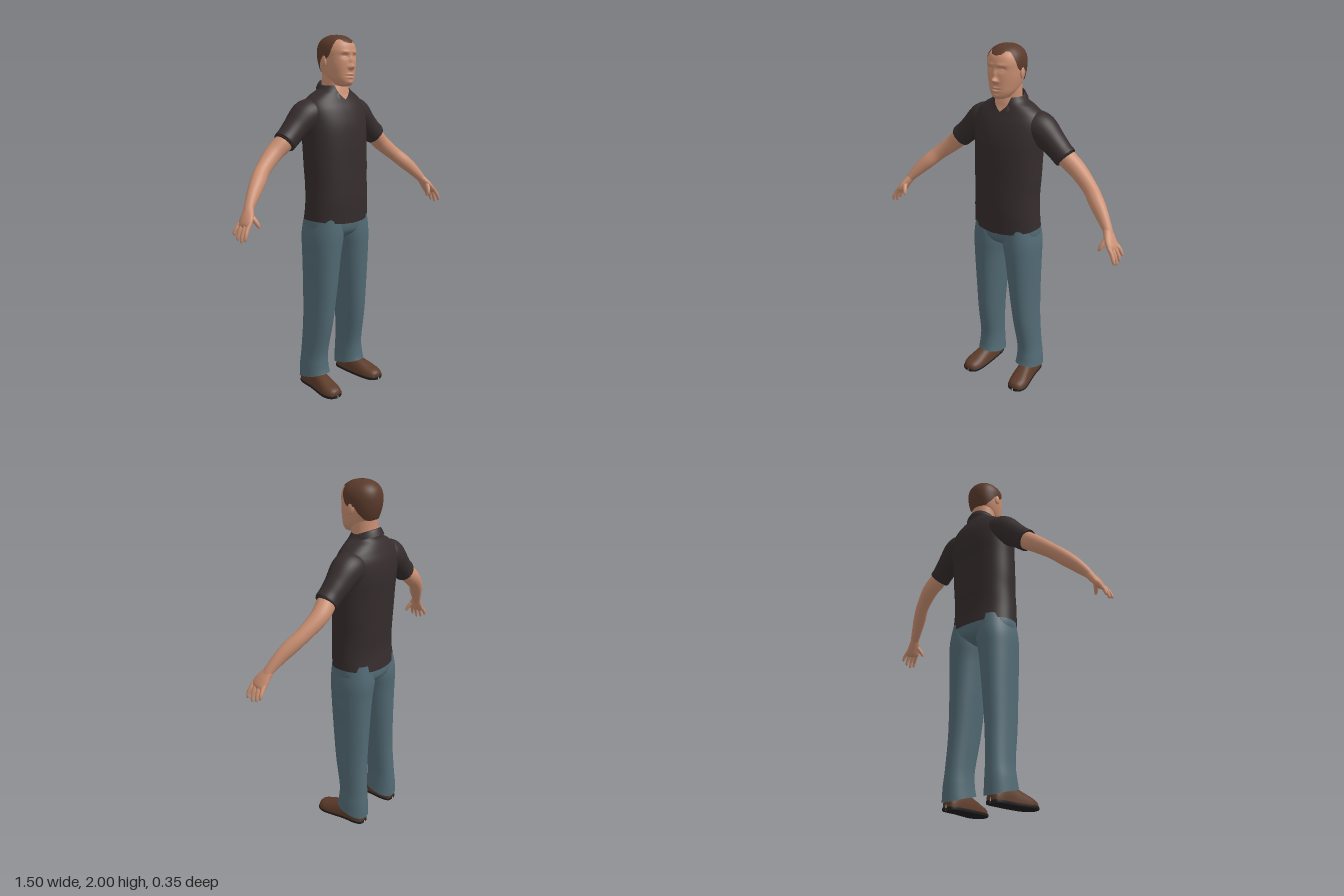
import * as THREE from 'three';

const TAU = Math.PI * 2;
const paint = (name, color, side = THREE.FrontSide) => {
  const m = new THREE.MeshStandardMaterial({ color, side });
  m.name = name;
  return m;
};

// Smooth interpolation between rows of numbers; u counts rows
function sample(rows, u) {
  const last = rows.length - 1;
  const i = Math.min(Math.floor(u), last - 1), t = u - i;
  const a = rows[Math.max(i - 1, 0)], b = rows[i], c = rows[i + 1], d = rows[Math.min(i + 2, last)];
  return b.map((p, k) => {
    const m0 = (c[k] - a[k]) / 2, m1 = (d[k] - p) / 2, e = c[k] - p;
    return p + m0 * t + (3 * e - 2 * m0 - m1) * t * t + (m0 + m1 - 2 * e) * t * t * t;
  });
}

// Surface grid: fn(u, angle) gives [x, y, z]; a full turn is welded
function surface(name, mat, fn, u0, u1, nu, nv, a0 = 0, a1 = TAU) {
  const closed = a1 - a0 > TAU - 1e-6, cols = closed ? nv : nv + 1;
  const pos = [], idx = [];
  for (let i = 0; i <= nu; i++)
    for (let j = 0; j < cols; j++) pos.push(...fn(u0 + (u1 - u0) * i / nu, a0 + (a1 - a0) * j / nv));
  for (let i = 0; i < nu; i++)
    for (let j = 0; j < nv; j++) {
      const k = (j + 1) % cols, p = i * cols, q = p + cols;
      idx.push(p + j, p + k, q + j, p + k, q + k, q + j);
    }
  const g = new THREE.BufferGeometry();
  g.setAttribute('position', new THREE.Float32BufferAttribute(pos, 3));
  g.setIndex(idx);
  g.computeVertexNormals();
  const mesh = new THREE.Mesh(g, mat);
  mesh.name = name;
  return mesh;
}

const soft = (v, n) => Math.sign(v) * Math.abs(v) ** (2 / n);

// Horizontal ring from a row [y, frontZ, backZ, halfWidth, centreX]
const ring = (rows, n = 2, grow = 0) => (u, a) => {
  const [y, f, b, w, cx = 0] = sample(rows, u);
  return [cx + (w + grow) * soft(Math.sin(a), n), y,
    (f + b) / 2 + ((f - b) / 2 + grow) * soft(Math.cos(a), n)];
};

// Limb along rows [x, y, z, thickness, depth]
function limb(name, mat, rows, nu = 24, nv = 24) {
  const last = rows.length - 1;
  const at = u => new THREE.Vector3(...sample(rows, u).slice(0, 3));
  return surface(name, mat, (u, a) => {
    const [x, y, z, r1, r2] = sample(rows, u);
    const t = at(Math.min(u + 0.05, last)).sub(at(Math.max(u - 0.05, 0))).normalize();
    const n1 = new THREE.Vector3(0, 0, 1).cross(t).normalize();
    const n2 = t.clone().cross(n1);
    const p = new THREE.Vector3(x, y, z)
      .addScaledVector(n1, Math.max(r1, 0) * Math.cos(a)).addScaledVector(n2, Math.max(r2, 0) * Math.sin(a));
    return p.toArray();
  }, 0, last, nu, nv);
}

// Reflected copy of a mesh, with corner order corrected
function mirror(mesh) {
  const g = mesh.geometry.clone().scale(-1, 1, 1);
  const ix = g.index.array;
  for (let i = 0; i < ix.length; i += 3) [ix[i], ix[i + 1]] = [ix[i + 1], ix[i]];
  g.computeVertexNormals();
  const m = new THREE.Mesh(g, mesh.material);
  m.name = mesh.name.replace('left', 'right');
  return m;
}

export function createModel() {
  const skin = paint('skin', 0xcb9073), hair = paint('hair brown', 0x5a3a2b, THREE.DoubleSide);
  const cloth = paint('shirt charcoal', 0x352c2d, THREE.DoubleSide);
  const denim = paint('trouser blue', 0x526a74, THREE.DoubleSide);
  const leather = paint('shoe brown', 0x5c3b29), rubber = paint('sole black', 0x211e1e);
  const model = new THREE.Group();
  model.name = 'standingMan';
  const pair = mesh => model.add(mesh, mirror(mesh));

  // Head, with features raised and sunk into the front
  const skull = [
    [1.728, 0.06, 0.03, 0.002], [1.734, 0.083, 0, 0.034], [1.748, 0.094, -0.03, 0.05], [1.77, 0.098, -0.06, 0.066],
    [1.80, 0.099, -0.093, 0.078], [1.84, 0.1, -0.11, 0.088], [1.88, 0.099, -0.119, 0.093],
    [1.92, 0.098, -0.119, 0.094], [1.955, 0.086, -0.108, 0.083], [1.98, 0.058, -0.083, 0.06],
    [1.993, 0.024, -0.05, 0.032], [1.996, -0.012, -0.016, 0.002]];
  const bumps = [ // x, y, spreadX, spreadY, height
    [0, 1.862, 0.01, 0.024, 0.011], [0, 1.832, 0.013, 0.012, 0.023], [0.014, 1.828, 0.007, 0.007, 0.008],
    [0.036, 1.887, 0.018, 0.012, -0.011], [0.036, 1.883, 0.011, 0.006, 0.005], [0.03, 1.908, 0.024, 0.008, 0.005],
    [0, 1.793, 0.021, 0.005, 0.006], [0, 1.776, 0.018, 0.005, 0.006], [0, 1.785, 0.024, 0.003, -0.005],
    [0, 1.75, 0.018, 0.012, 0.005]];
  const headRing = ring(skull, 2.15);
  model.add(surface('head', skin, (u, a) => {
    const [x, y, z] = headRing(u, a);
    let dz = 0;
    if (z > 0) for (const [bx, by, sx, sy, h] of bumps)
      dz += h * Math.exp(-(((Math.abs(x) - bx) / sx) ** 2) - ((y - by) / sy) ** 2);
    return [x, y, z + dz];
  }, 0, 11, 100, 120));
  const neck = [[1.62, 0.03, -0.11, 0.075], [1.70, 0.035, -0.108, 0.069], [1.76, 0.045, -0.101, 0.069], [1.82, 0.05, -0.1, 0.07]];
  model.add(surface('neck', skin, ring(neck), 0, 3, 12, 32));

  // Short hair with a receding hairline; rows are [angle, skull row]
  const hairline = [[0, 7.95], [0.3, 8.1], [0.6, 8.7], [0.85, 8.6], [1.05, 7.6], [1.25, 6.2], [1.5, 5.7],
    [1.75, 5.9], [2.0, 5.0], [2.4, 4.2], [Math.PI, 3.9]];
  const hairRing = ring(skull, 2.15, 0.004);
  model.add(surface('hair', hair, (v, a) => {
    const b = Math.min(a, TAU - a);
    let i = 0;
    while (i < hairline.length - 2 && hairline[i + 1][0] < b) i++;
    const [p, q] = [hairline[i], hairline[i + 1]];
    const low = p[1] + (q[1] - p[1]) * (b - p[0]) / (q[0] - p[0]);
    const [x, y, z] = hairRing(low + (11 - low) * v, a);
    return [x, y + 0.004 * v, z];
  }, 0, 1, 30, 72));

  // Ears
  const earShape = new THREE.SphereGeometry(1, 16, 12).scale(0.01, 0.032, 0.019).rotateX(-0.2).rotateY(0.3);
  const ear = new THREE.Mesh(earShape.translate(0.092, 1.865, -0.012), skin);
  ear.name = 'leftEar';
  pair(ear);

  // Shirt body with a dipping hem
  const torso = [
    [1.005, 0.123, -0.163, 0.198], [1.1, 0.127, -0.152, 0.194], [1.2, 0.125, -0.157, 0.191], [1.3, 0.12, -0.162, 0.196],
    [1.42, 0.115, -0.169, 0.199], [1.52, 0.105, -0.176, 0.204], [1.6, 0.083, -0.168, 0.204], [1.65, 0.06, -0.15, 0.185],
    [1.685, 0.046, -0.134, 0.143], [1.71, 0.04, -0.12, 0.1], [1.735, 0.033, -0.114, 0.08]];
  const shirt = grow => {
    const f = ring(torso, 2.2, grow);
    return (u, a) => {
      const [x, y, z] = f(u, a);
      return [x, y - 0.018 * Math.cos(a) ** 2 * Math.max(0, 1 - u), z];
    };
  };
  model.add(surface('shirtBody', cloth, shirt(0), 0, 10, 60, 64));
  model.add(surface('buttonPlacket', cloth, shirt(0.003), 0, 7.2, 50, 4, -0.1, 0.05));

  // Open neckline and folded collar
  const chest = shirt(0.004);
  model.add(surface('openNeckline', skin, (u, a) => chest(u, a * (u - 7.25) / 2.75), 7.25, 10, 14, 10, -0.62, 0.62));
  const fold = [[0.070, 1.69, 0], [0.074, 1.727, 0], [0.078, 1.733, 0], [0.087, 1.72, 0.3], [0.096, 1.70, 1]];
  model.add(surface('collar', cloth, (u, a) => {
    const [r, y, drop] = sample(fold, u), c = Math.cos(a);
    const tip = Math.max(0, c) ** 4 * drop;
    return [r * 1.02 * Math.sin(a), y - 0.029 * c - 0.012 * tip, -0.037 + (r + 0.012 * tip) * c];
  }, 4, 0, 14, 56, 0.42, TAU - 0.42));

  // Sleeves
  pair(limb('leftSleeve', cloth, [
    [0.09, 1.61, -0.055, 0.05, 0.06], [0.135, 1.592, -0.056, 0.078, 0.085], [0.19, 1.568, -0.057, 0.087, 0.086],
    [0.262, 1.512, -0.056, 0.07, 0.07], [0.31, 1.471, -0.052, 0.063, 0.063], [0.342, 1.445, -0.05, 0.062, 0.062],
    [0.34, 1.447, -0.05, 0.05, 0.05]], 36, 32));

  // Bare arms
  pair(limb('leftArm', skin, [
    [0.29, 1.487, -0.05, 0.045, 0.045], [0.34, 1.445, -0.054, 0.051, 0.05], [0.41, 1.388, -0.06, 0.047, 0.047],
    [0.5, 1.316, -0.034, 0.041, 0.038], [0.56, 1.262, 0.001, 0.041, 0.038], [0.61, 1.212, 0.03, 0.035, 0.032],
    [0.655, 1.16, 0.055, 0.025, 0.027], [0.675, 1.13, 0.066, 0.02, 0.027]], 44, 28));

  // Hands
  pair(limb('leftPalm', skin, [
    [0.648, 1.17, 0.05, 0.02, 0.022], [0.668, 1.14, 0.064, 0.022, 0.033], [0.69, 1.107, 0.079, 0.021, 0.045],
    [0.708, 1.078, 0.087, 0.017, 0.045], [0.715, 1.064, 0.09, 0.003, 0.03]], 20, 24));
  [[0.05, 0.044, 0.027], [0.075, 0.073, 0.008], [0.1, 0.104, 0], [0.122, 0.134, 0.012]].forEach(([z0, z1, up], i) =>
    pair(limb('leftFinger' + (i + 1), skin, [
      [0.7, 1.094, z0, 0.011, 0.012], [0.721, 1.063 + up * 0.3, z0 * 0.6 + z1 * 0.4, 0.011, 0.0115],
      [0.735, 1.032 + up * 0.7, z1, 0.0095, 0.01], [0.741, 1.007 + up, z1, 0.007, 0.007],
      [0.742, 1.001 + up, z1, 0.001, 0.001]], 14, 12)));
  pair(limb('leftThumb', skin, [
    [0.678, 1.135, 0.082, 0.014, 0.015], [0.667, 1.108, 0.106, 0.013, 0.014], [0.657, 1.085, 0.121, 0.011, 0.011],
    [0.651, 1.068, 0.126, 0.007, 0.007], [0.65, 1.063, 0.127, 0.001, 0.001]], 14, 12));

  // Trousers: seat and two legs with sloping hems
  const seat = [[0.875, -0.02, -0.03, 0.004], [0.89, 0.045, -0.1, 0.075], [0.925, 0.09, -0.145, 0.165],
    [0.97, 0.105, -0.156, 0.195], [1.06, 0.108, -0.148, 0.188]];
  model.add(surface('trouserSeat', denim, ring(seat, 2.3), 0, 4, 20, 56));
  const legRow = (y, inner, outer, f, b) => [y, f, b, (outer - inner) / 2, (outer + inner) / 2];
  const leg = [
    legRow(0.066, 0.066, 0.216, 0.045, -0.152), legRow(0.13, 0.072, 0.21, 0.036, -0.15),
    legRow(0.22, 0.074, 0.2, 0.034, -0.144), legRow(0.4, 0.06, 0.195, 0.066, -0.136),
    legRow(0.6, 0.04, 0.195, 0.086, -0.14), legRow(0.8, 0.018, 0.199, 0.1, -0.147),
    legRow(0.92, -0.002, 0.199, 0.106, -0.154), legRow(1.03, 0.01, 0.18, 0.1, -0.14)];
  const legRing = ring(leg, 2.25);
  pair(surface('leftTrouserLeg', denim, (u, a) => {
    const [x, y, z] = legRing(u, a);
    return [x, y + 0.027 * Math.cos(a) * Math.max(0, 1 - u), z];
  }, 0, 7, 56, 40));

  // Shoes: rows [z, centreX, halfWidth, top]
  const last = [[-0.145, 0.146, 0.003, 0.03], [-0.136, 0.146, 0.032, 0.07], [-0.1, 0.147, 0.046, 0.1],
    [-0.02, 0.15, 0.05, 0.108], [0.05, 0.158, 0.056, 0.088], [0.11, 0.166, 0.058, 0.066],
    [0.15, 0.168, 0.047, 0.053], [0.168, 0.168, 0.028, 0.04], [0.174, 0.168, 0.003, 0.022]];
  pair(surface('leftShoe', leather, (u, a) => {
    const [z, cx, w, top] = sample(last, u);
    return [cx + w * soft(Math.cos(a), 2.3), 0.012 + (top - 0.012) * soft(Math.max(0, Math.sin(a)), 2.3), z];
  }, 0, 8, 40, 32));
  pair(surface('leftSole', rubber, (u, a) => {
    const [z, cx, w] = sample(last, u);
    return [cx + (w + 0.002) * soft(Math.cos(a), 8), 0.009 + 0.009 * soft(Math.sin(a), 8), z * 1.01];
  }, 0, 8, 40, 32));

  return model;
}
